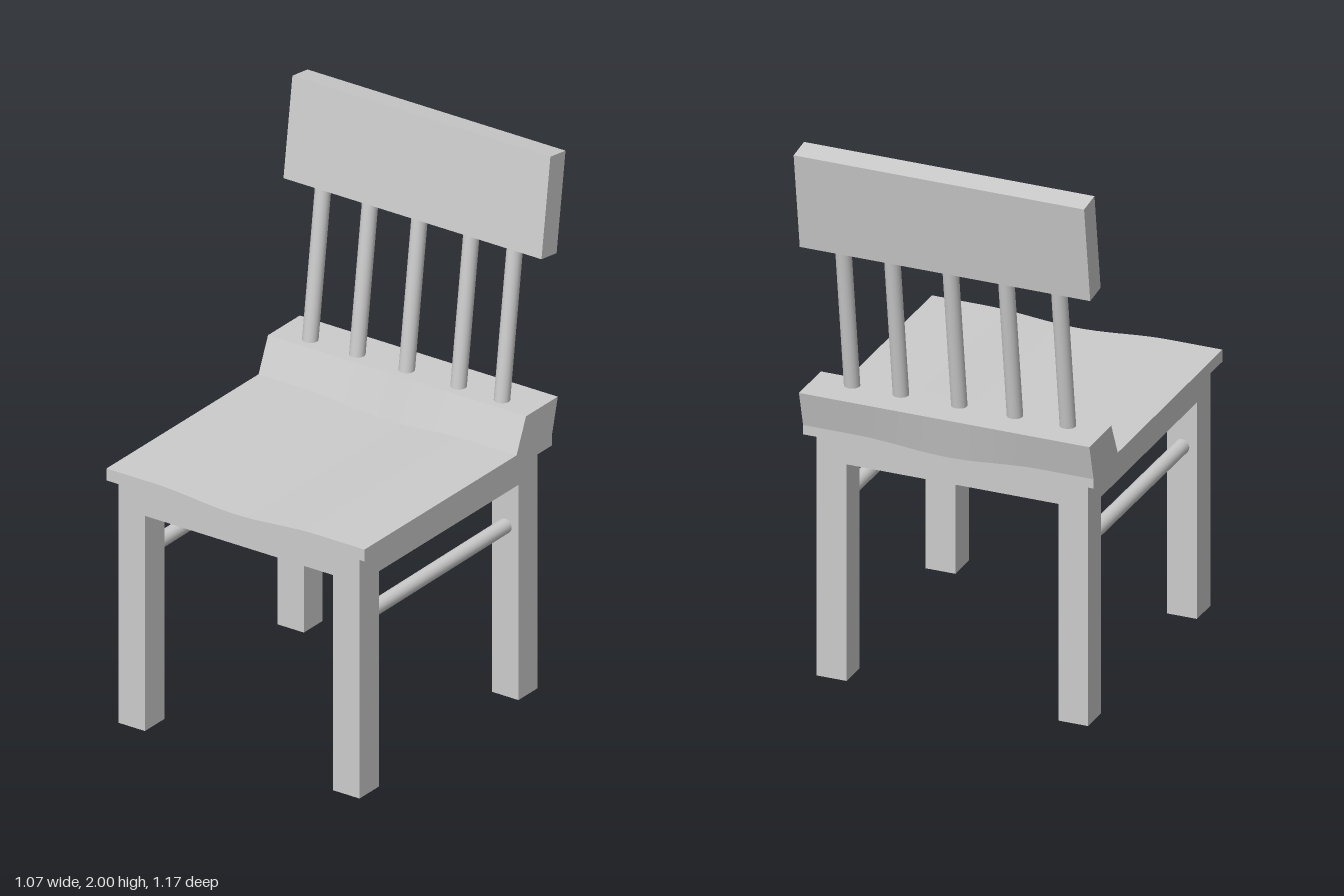
import * as THREE from 'three';
import { toCreasedNormals } from 'three/addons/utils/BufferGeometryUtils.js';

const material = new THREE.MeshStandardMaterial({ color: 0xcccccc });
const WIDTH = 1.07;

export function createModel() {
  const chair = new THREE.Group();
  chair.name = 'chair';

  const add = (name, geometry) => {
    const mesh = new THREE.Mesh(geometry, material);
    mesh.name = name;
    chair.add(mesh);
    return mesh;
  };

  // Side profile given as [z, y] points, swept across the chair's width
  const sweep = (points, steps) => {
    const shape = new THREE.Shape(points.map(([z, y]) => new THREE.Vector2(-z, y)));
    return new THREE.ExtrudeGeometry(shape, { depth: WIDTH, steps, bevelEnabled: false })
      .rotateY(Math.PI / 2)
      .translate(-WIDTH / 2, 0, 0);
  };

  // Round rod between two points
  const rod = (name, from, to, radius) => {
    const axis = to.clone().sub(from);
    const mesh = add(name, new THREE.CylinderGeometry(radius, radius, axis.length(), 20));
    mesh.position.copy(from).add(to).multiplyScalar(0.5);
    mesh.quaternion.setFromUnitVectors(new THREE.Vector3(0, 1, 0), axis.normalize());
  };

  // Seat with raised back ledge; everything below the ledge top dips mid-width
  const seat = sweep([
    [0.585, 0.91], [0.585, 0.955], [-0.3, 0.955], [-0.355, 1.08],
    [-0.54, 1.08], [-0.505, 0.945], [-0.505, 0.91],
  ], 32);
  const pos = seat.attributes.position;
  for (let i = 0; i < pos.count; i++) {
    const t = Math.min(Math.abs(pos.getX(i)) / 0.34, 1);
    if (pos.getY(i) < 1) pos.setY(i, pos.getY(i) - 0.01 * (1 + Math.cos(Math.PI * t)));
  }
  add('seat', toCreasedNormals(seat, 0.2));

  // Apron frame under the seat, flush with the legs
  const frame = new THREE.Shape();
  frame.moveTo(-0.5, -0.565).lineTo(0.5, -0.565).lineTo(0.5, 0.47).lineTo(-0.5, 0.47).closePath();
  const opening = new THREE.Path();
  opening.moveTo(-0.39, -0.45).lineTo(-0.39, 0.36).lineTo(0.39, 0.36).lineTo(0.39, -0.45).closePath();
  frame.holes.push(opening);
  add('apron', new THREE.ExtrudeGeometry(frame, { depth: 0.11, bevelEnabled: false })
    .rotateX(-Math.PI / 2).translate(0, 0.81, 0));

  // Legs (hollow at the foot) and side stretchers
  for (const [side, s] of [['left', 1], ['right', -1]]) {
    for (const [end, z] of [['Front', 0.5075], ['Back', -0.415]]) {
      const leg = new THREE.BoxGeometry(0.11, 0.81, end === 'Front' ? 0.115 : 0.11);
      const index = Array.from(leg.index.array);
      index.splice(18, 6);
      leg.setIndex(index);
      leg.clearGroups();
      add(`${side}${end}Leg`, leg).position.set(s * 0.445, 0.405, z);
    }
    rod(`${side}Stretcher`, new THREE.Vector3(s * 0.445, 0.635, 0.47),
      new THREE.Vector3(s * 0.445, 0.641, -0.38), 0.027);
  }

  // Back spindles, leaning backwards
  [-0.4, -0.205, 0, 0.215, 0.395].forEach((x, i) => {
    rod(`spindle${i + 1}`, new THREE.Vector3(x, 1.06, -0.409),
      new THREE.Vector3(x, 1.65, -0.49), 0.028);
  });

  // Tilted top rail
  add('topRail', sweep([[-0.445, 1.635], [-0.497, 2], [-0.585, 1.988], [-0.533, 1.623]], 1));

  return chair;
}
